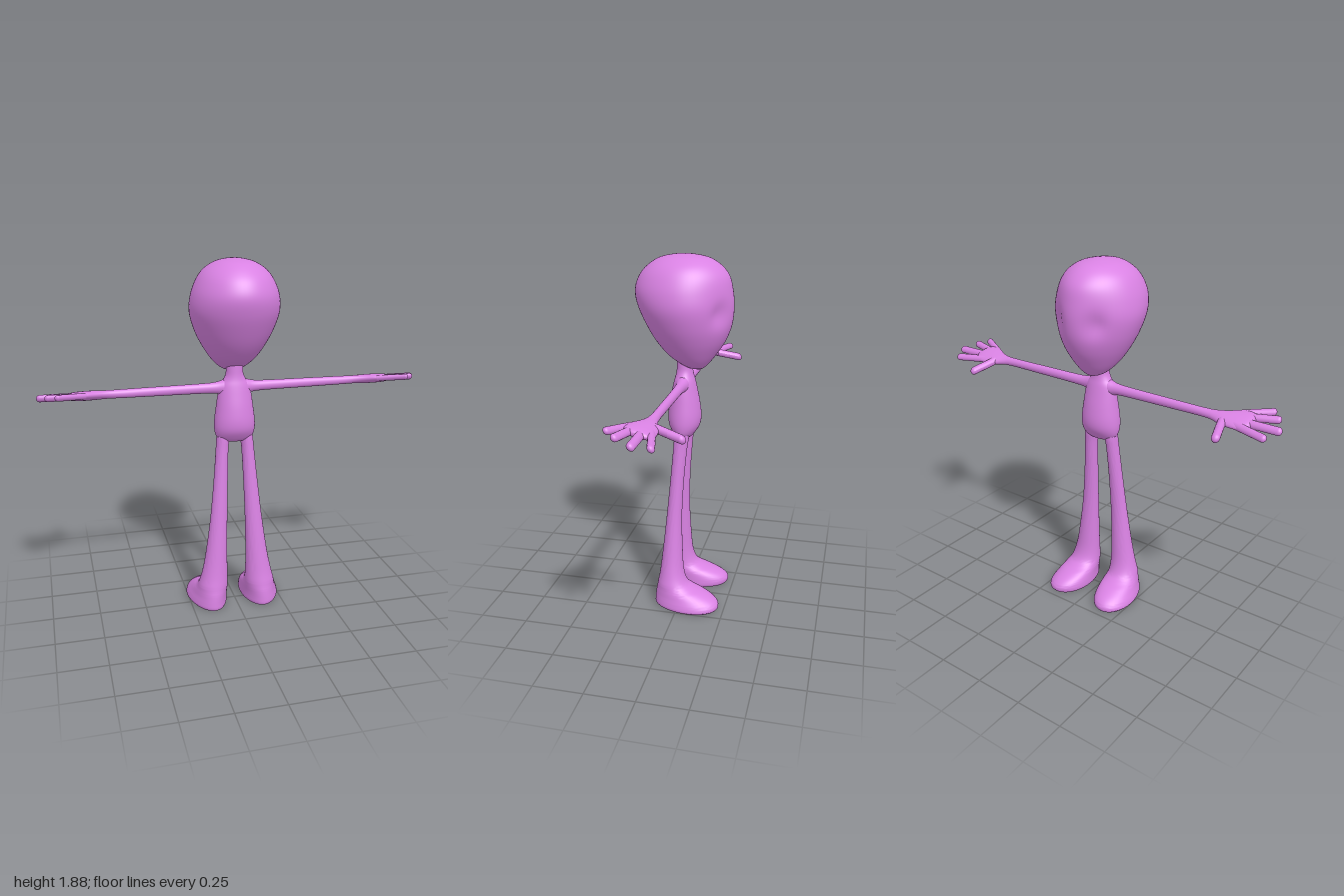
import * as THREE from 'three';
import { mergeGeometries, toCreasedNormals } from 'three/addons/utils/BufferGeometryUtils.js';

const material = new THREE.MeshStandardMaterial({ color: 0xd982e3 });

// Smooth loft along y through rows of [y, xMin, xMax, zMin, zMax], closed at both ends
function loft(rows, sides = 40, steps = 5) {
  const spline = new THREE.CubicInterpolant(rows.map((_, i) => i), rows.flat(), 5, new Float32Array(5));
  const rings = (rows.length - 1) * steps + 1;
  const pos = [], index = [];
  const mids = [];
  for (let i = 0; i < rings; i++) {
    const [y, x0, x1, z0, z1] = spline.evaluate(i / steps);
    mids.push([(x0 + x1) / 2, y, (z0 + z1) / 2]);
    for (let j = 0; j < sides; j++) {
      const a = (j / sides) * Math.PI * 2;
      pos.push((x0 + x1) / 2 + Math.cos(a) * (x1 - x0) / 2, y, (z0 + z1) / 2 + Math.sin(a) * (z1 - z0) / 2);
    }
  }
  const bottom = rings * sides, top = bottom + 1, last = (rings - 1) * sides;
  pos.push(...mids[0], ...mids[rings - 1]);
  for (let j = 0; j < sides; j++) {
    const k = (j + 1) % sides;
    for (let i = 0; i < rings - 1; i++) {
      const a = i * sides + j, b = i * sides + k;
      index.push(a, a + sides, b, b, a + sides, b + sides);
    }
    index.push(bottom, j, k, top, last + k, last + j);
  }
  const geo = new THREE.BufferGeometry();
  geo.setAttribute('position', new THREE.Float32BufferAttribute(pos, 3));
  geo.setIndex(index);
  geo.computeVertexNormals();
  return geo;
}

// Move every vertex by a rule
function deform(geo, rule) {
  const p = geo.attributes.position, v = new THREE.Vector3();
  for (let i = 0; i < p.count; i++) {
    rule(v.fromBufferAttribute(p, i));
    p.setXYZ(i, v.x, v.y, v.z);
  }
  geo.computeVertexNormals();
  return geo;
}

// Copy reflected in x, with corner order reversed
function mirrored(geo) {
  const m = geo.clone();
  deform(m, v => { v.x = -v.x; });
  m.setIndex(Array.from(geo.index.array).reverse());
  m.computeVertexNormals();
  return m;
}

function makeHead() {
  const rows = [
    [1.300, 0.02, -0.09, -0.05], [1.310, 0.05, -0.105, -0.015], [1.335, 0.085, -0.13, 0.03],
    [1.38, 0.125, -0.165, 0.09], [1.45, 0.17, -0.21, 0.148], [1.53, 0.207, -0.24, 0.195],
    [1.62, 0.23, -0.25, 0.235], [1.70, 0.222, -0.243, 0.25], [1.77, 0.195, -0.225, 0.228],
    [1.82, 0.158, -0.185, 0.185], [1.855, 0.105, -0.13, 0.13], [1.87, 0.055, -0.07, 0.07],
    [1.876, 0.015, -0.02, 0.02],
  ].map(([y, x, z0, z1]) => [y, -x, x, z0, z1]);
  return deform(loft(rows, 64, 6), v => {
    if (v.z >= 0) return;
    // face narrows forward, with a shallow eye socket on each side
    v.x *= 1 - 0.22 * (v.z / 0.25) ** 2;
    const d = ((Math.abs(v.x) - 0.11) / 0.045) ** 2 + ((v.y - 1.6) / 0.06) ** 2;
    v.z += 0.024 * Math.exp(-d) * Math.min(1, -v.z / 0.1);
  });
}

function makeTorso() {
  return loft([
    [0.930, 0.03, 0.02], [0.937, 0.07, 0.038], [0.96, 0.098, 0.058], [1.00, 0.108, 0.08],
    [1.05, 0.107, 0.086], [1.12, 0.098, 0.078], [1.19, 0.088, 0.064], [1.235, 0.078, 0.054],
    [1.265, 0.058, 0.046], [1.29, 0.047, 0.042], [1.32, 0.044, 0.04], [1.37, 0.043, 0.038],
  ].map(([y, x, z]) => [y, -x, x, -z, z]));
}

// Leg and foot in one sweep from the flat sole to the hip
function makeLeg() {
  const geo = loft([
    [0.000, 0.050, 0.245, -0.212, 0.128], [0.012, 0.045, 0.253, -0.22, 0.132],
    [0.035, 0.045, 0.248, -0.216, 0.131], [0.06, 0.046, 0.238, -0.187, 0.129],
    [0.085, 0.047, 0.228, -0.135, 0.126], [0.105, 0.049, 0.219, -0.083, 0.122],
    [0.13, 0.05, 0.211, -0.045, 0.118], [0.19, 0.052, 0.194, -0.022, 0.108],
    [0.30, 0.053, 0.172, -0.012, 0.096], [0.50, 0.05, 0.143, -0.005, 0.077],
    [0.70, 0.044, 0.121, -0.012, 0.06], [0.88, 0.037, 0.104, -0.027, 0.046],
    [0.95, 0.03, 0.098, -0.036, 0.042], [1.02, 0.03, 0.09, -0.035, 0.035],
  ]);
  // toes widen and turn slightly outward
  return deform(geo, v => {
    const low = THREE.MathUtils.clamp(1 - v.y / 0.13, 0, 1);
    v.x = 0.149 + (v.x - 0.149) * (1 - 0.6 * low * v.z) - 0.05 * low * (v.z + 0.04);
  });
}

// Rounded finger between two points in the palm plane (x, z)
function makeFinger([x0, z0, x1, z1, r]) {
  const dir = new THREE.Vector3(x1 - x0, 0, z1 - z0);
  const geo = new THREE.CapsuleGeometry(r, dir.length(), 6, 16);
  geo.deleteAttribute('uv');
  geo.applyQuaternion(new THREE.Quaternion().setFromUnitVectors(new THREE.Vector3(0, 1, 0), dir.normalize()));
  return geo.translate((x0 + x1) / 2, 0, (z0 + z1) / 2);
}

// Arm, palm, four fingers and thumb along +x; the hand tilts with z
function makeArm() {
  const sleeve = loft([
    [0.00, 0.05, -0.045, 0.045], [0.05, 0.043, -0.038, 0.038], [0.10, 0.03, -0.027, 0.027],
    [0.18, 0.026, -0.023, 0.023], [0.40, 0.024, -0.021, 0.021], [0.60, 0.022, -0.022, 0.022],
    [0.66, 0.022, -0.03, 0.028], [0.71, 0.024, -0.05, 0.046], [0.76, 0.025, -0.057, 0.073],
    [0.81, 0.023, -0.058, 0.085], [0.84, 0.018, -0.045, 0.068], [0.853, 0.008, -0.02, 0.035],
  ].map(([x, h, z0, z1]) => [x, -h, h, z0, z1]), 32).rotateZ(-Math.PI / 2);
  const fingers = [
    [0.78, -0.035, 0.942, -0.074, 0.0175],
    [0.80, 0.0, 0.981, 0.0, 0.0185],
    [0.79, 0.04, 0.942, 0.08, 0.0175],
    [0.77, 0.06, 0.896, 0.128, 0.0165],
    [0.715, -0.03, 0.735, -0.10, 0.021],
    [0.735, -0.10, 0.752, -0.156, 0.021],
  ].map(makeFinger);
  return deform(mergeGeometries([sleeve, ...fingers]), v => {
    const tilt = THREE.MathUtils.smoothstep(v.x, 0.55, 0.7);
    v.y += 1.222 + 0.23 * v.z * tilt;
  });
}

export function createModel() {
  const group = new THREE.Group();
  const add = (name, geo) => {
    const mesh = new THREE.Mesh(geo, material);
    mesh.name = name;
    group.add(mesh);
  };
  add('head', makeHead());
  add('torso', makeTorso());
  const arm = makeArm(), leg = makeLeg();
  add('leftArm', arm);
  add('rightArm', mirrored(arm));
  add('leftLeg', toCreasedNormals(leg, 0.9));
  add('rightLeg', toCreasedNormals(mirrored(leg), 0.9));
  return group;
}
